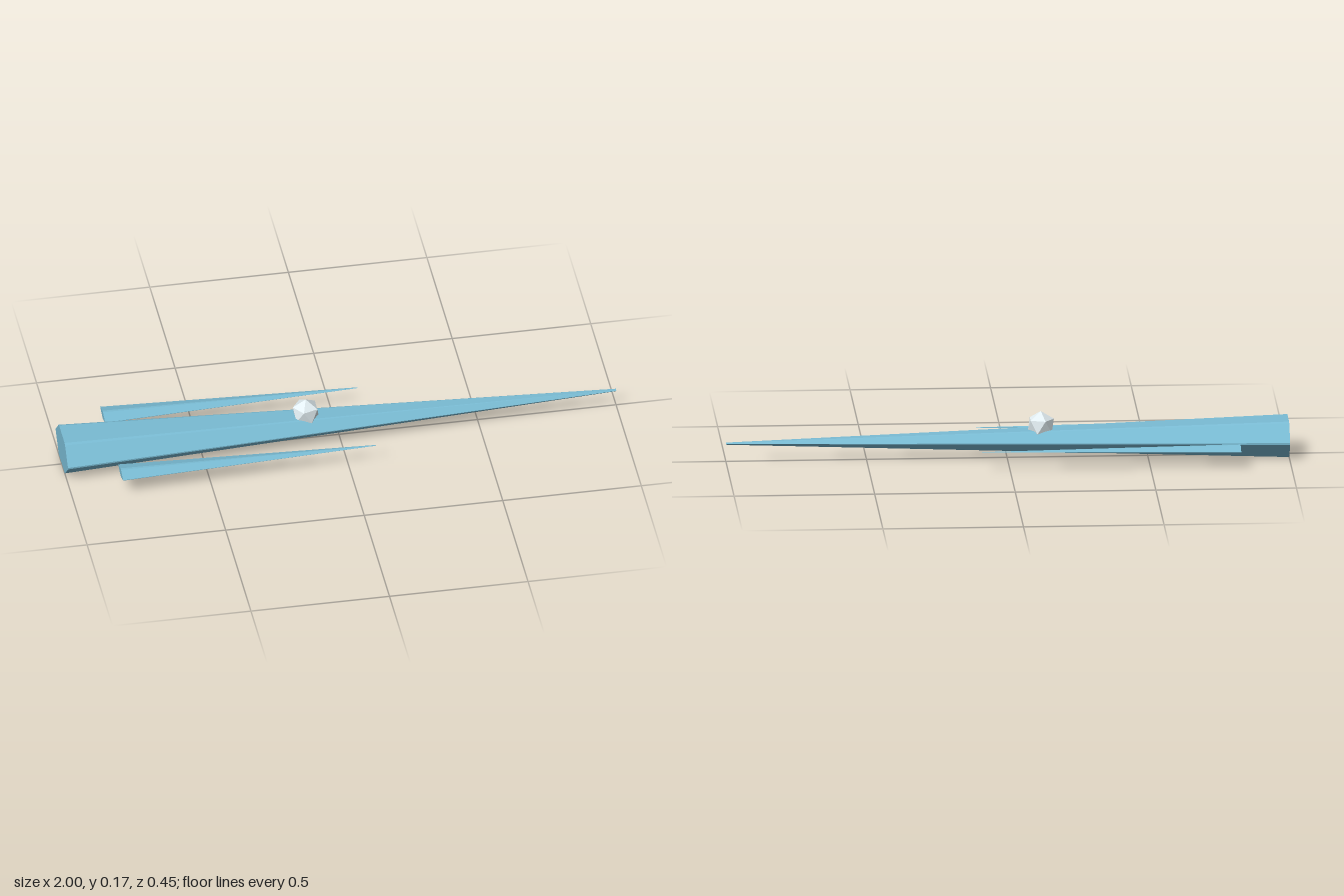
import * as THREE from 'three';

const blue = new THREE.MeshStandardMaterial({ color: 0x7abcd4, flatShading: true });
const pale = new THREE.MeshStandardMaterial({ color: 0xe2eef2, flatShading: true });

// Spike along x: a symmetric section, given by its upper right quarter, shrinks toward the nose.
function spike(quarter, xBack, xNose, tip) {
  const back = [...quarter].reverse();
  const outline = [
    ...quarter,
    ...back.map(([z, y]) => [-z, y]),
    ...quarter.map(([z, y]) => [-z, -y]),
    ...back.map(([z, y]) => [z, -y]),
  ].map(([z, y]) => new THREE.Vector2(z, y));
  const length = xNose - xBack;
  const geo = new THREE.ExtrudeGeometry(new THREE.Shape(outline), { depth: length, bevelEnabled: false });
  const p = geo.attributes.position;
  for (let i = 0; i < p.count; i++) {
    const s = THREE.MathUtils.lerp(1, tip, p.getZ(i) / length);
    p.setXY(i, p.getX(i) * s, p.getY(i) * s);
  }
  geo.rotateY(Math.PI / 2).translate(xBack, 0, 0);
  geo.computeVertexNormals();
  return geo;
}

function add(parent, name, geo, mat, x, y, z) {
  const mesh = new THREE.Mesh(geo, mat);
  mesh.name = name;
  mesh.position.set(x, y, z);
  parent.add(mesh);
}

export function createModel() {
  const group = new THREE.Group();
  group.name = 'spaceship';

  // Long six-sided hull with narrow chamfers on its edges
  const hull = spike([[0.122, 0.003], [0.064, 0.061], [0.054, 0.065]], -1, 1, 0.05);
  add(group, 'hull', hull, blue, 0, 0.065, 0);

  // Slim side blades floating beside the hull
  const blade = spike([[0.049, 0.001], [0.005, 0.015]], -0.82, 0.1, 0.05);
  add(group, 'leftBlade', blade, blue, 0, 0.065, -0.178);
  add(group, 'rightBlade', blade, blue, 0, 0.065, 0.178);

  // Faceted canopy: icosahedron standing on a vertex
  const canopy = new THREE.IcosahedronGeometry(0.052, 0);
  canopy.rotateZ(Math.atan2(1, (1 + Math.sqrt(5)) / 2));
  add(group, 'canopy', canopy, pale, -0.12, 0.116, 0);

  return group;
}
